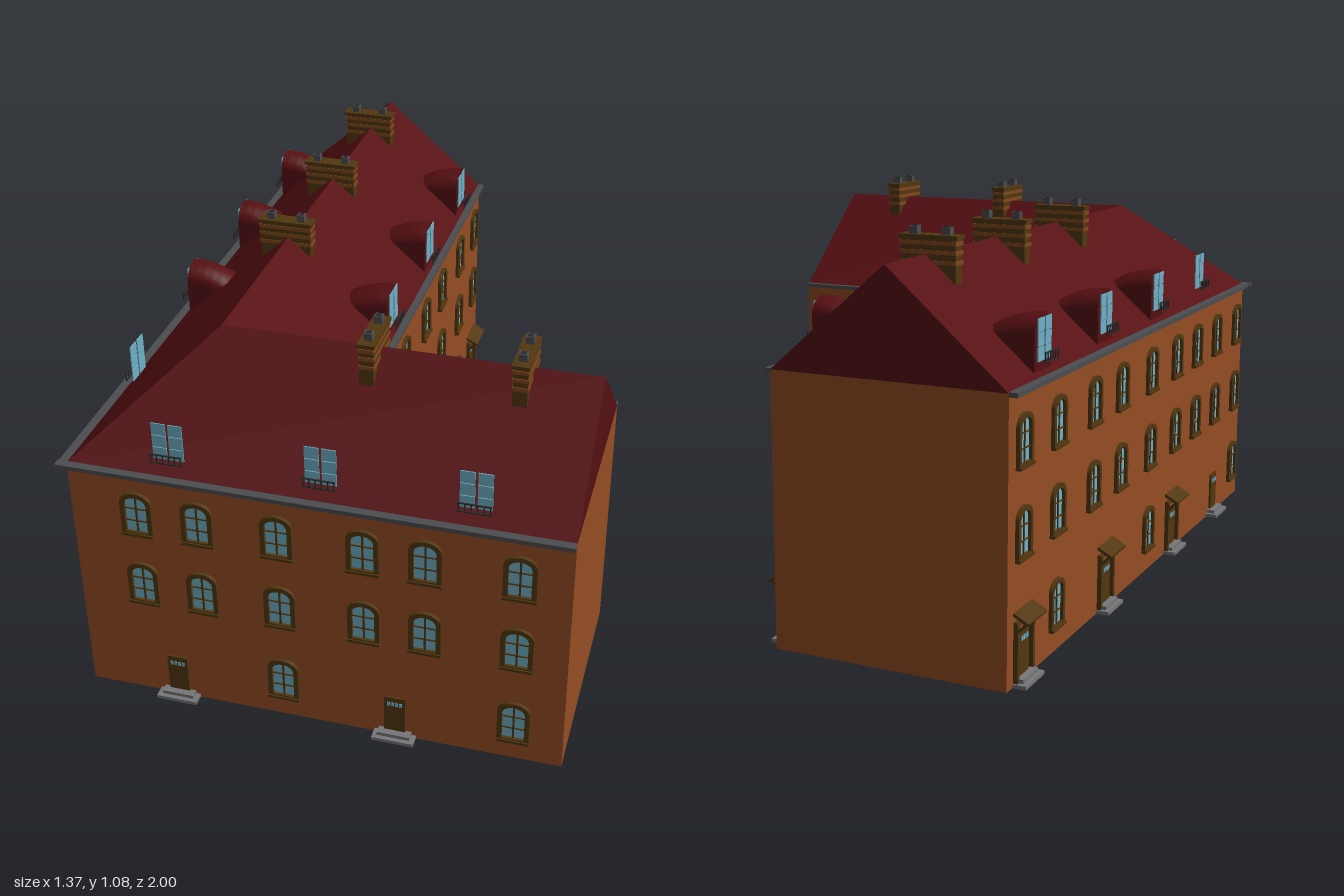
import * as THREE from 'three';

const mat = (name, color, side = THREE.FrontSide) => {
  const m = new THREE.MeshStandardMaterial({ color, side });
  m.name = name;
  return m;
};
const M = {
  wall: mat('brick wall', 0x964d22, THREE.DoubleSide),
  roof: mat('red roof', 0x560f12, THREE.DoubleSide),
  trim: mat('brown trim', 0x523710),
  band: mat('brick band', 0x80481a),
  glass: mat('window glass', 0x6fb0c6, THREE.DoubleSide),
  gutter: mat('gutter grey', 0x4c4d50),
  stone: mat('step stone', 0x77777a),
  iron: mat('dark iron', 0x2c2a2c),
};
// plan: long wing along z, short wing along x
const W = -0.645, E = 0, F = 0.965, B = 0.32, R = 0.685, N = -0.995;
const EAVE = 0.73, RIDGE = 1.01, MX = (W + E) / 2, MZ = (F + B) / 2;

function add(parent, name, geo, material, x = 0, y = 0, z = 0) {
  const m = new THREE.Mesh(geo, material);
  m.name = name;
  m.position.set(x, y, z);
  parent.add(m);
  return m;
}
const box = (p, name, w, h, d, m, x, y, z) => add(p, name, new THREE.BoxGeometry(w, h, d), m, x, y, z);

// flat polygons, each a convex loop of points
function faces(polys) {
  const v = [];
  for (const p of polys)
    for (let i = 1; i < p.length - 1; i++) v.push(...p[0], ...p[i], ...p[i + 1]);
  const g = new THREE.BufferGeometry();
  g.setAttribute('position', new THREE.Float32BufferAttribute(v, 3));
  g.computeVertexNormals();
  return g;
}

// opening with a rounded head, standing on y = 0
function arch(w, h, rise, C = THREE.Shape, y0 = 0) {
  const s = new C();
  s.moveTo(-w / 2, y0);
  s.lineTo(w / 2, y0);
  s.lineTo(w / 2, h - rise);
  s.absellipse(0, h - rise, w / 2, rise, 0, Math.PI, false, 0);
  s.lineTo(-w / 2, y0);
  return s;
}
const frameShape = arch(0.086, 0.134, 0.032);
frameShape.holes.push(arch(0.06, 0.121, 0.022, THREE.Path, 0.012));
const frameGeo = new THREE.ExtrudeGeometry(frameShape, { depth: 0.01, bevelEnabled: false, curveSegments: 8 });
const glassGeo = new THREE.ShapeGeometry(arch(0.062, 0.122, 0.022, THREE.Shape, 0.011), 8);

function archedWindow(p, x, y) {
  const g = new THREE.Group();
  g.name = 'archedWindow';
  g.position.set(x, y, 0);
  p.add(g);
  add(g, 'windowFrame', frameGeo, M.trim, 0, 0, 0.0005);
  add(g, 'windowGlass', glassGeo, M.glass, 0, 0, 0.002);
  box(g, 'mullion', 0.005, 0.108, 0.003, M.trim, 0, 0.066, 0.004);
  for (const ty of [0.046, 0.084]) box(g, 'glazingBar', 0.06, 0.003, 0.003, M.trim, 0, ty, 0.004);
  box(g, 'windowSill', 0.088, 0.008, 0.014, M.trim, 0, 0.004, 0.0075);
}

function door(p, x, canopy) {
  const g = new THREE.Group();
  g.name = 'doorway';
  g.position.x = x;
  p.add(g);
  box(g, 'lowerStep', 0.115, 0.01, 0.036, M.stone, 0, 0.005, 0.018);
  box(g, 'upperStep', 0.09, 0.01, 0.024, M.stone, 0, 0.015, 0.012);
  box(g, 'doorLeaf', 0.058, 0.115, 0.006, M.trim, 0, 0.0775, 0.003);
  for (let i = 0; i < 4; i++)
    box(g, 'doorPane', 0.007, 0.012, 0.002, M.glass, (i - 1.5) * 0.011, 0.113, 0.007);
  if (!canopy) return;
  for (const s of [-1, 1]) {
    box(g, 'doorPost', 0.012, 0.15, 0.012, M.trim, s * 0.047, 0.085, 0.006);
    box(g, 'canopyBracket', 0.008, 0.008, 0.042, M.trim, s * 0.047, 0.148, 0.018).rotation.x = -0.8;
  }
  box(g, 'doorLintel', 0.106, 0.012, 0.01, M.trim, 0, 0.158, 0.005);
  box(g, 'canopyRoof', 0.114, 0.008, 0.046, M.trim, 0, 0.175, 0.02).rotation.x = 0.5;
}

// casement panes with a small balcony rail
function roofWindow(p, x, z) {
  for (const s of [-1, 1])
    for (let r = 0; r < 3; r++)
      box(p, 'roofWindowPane', 0.038, 0.034, 0.003, M.glass, x + s * 0.0225, 0.785 + r * 0.036, z);
  for (const y of [0.768, 0.792]) box(p, 'balconyRail', 0.085, 0.003, 0.004, M.iron, x, y, z + 0.02);
  for (let i = 0; i < 6; i++)
    box(p, 'baluster', 0.003, 0.024, 0.003, M.iron, x + (i - 2.5) * 0.016, 0.78, z + 0.02);
}

// arched hood that sinks towards the roof slope at its back
const dormerGeo = (() => {
  const D = 0.125;
  const g = new THREE.ExtrudeGeometry(arch(0.108, 0.143, 0.045), { depth: D, steps: 5, bevelEnabled: false, curveSegments: 10 });
  const a = g.attributes.position;
  for (let i = 0; i < a.count; i++) {
    const t = 1 - a.getZ(i) / D;
    a.setY(i, a.getY(i) * (1 - 0.25 * t * t));
    a.setZ(i, a.getZ(i) - D);
  }
  g.computeVertexNormals();
  return g;
})();

function facade(root, name, x, z, turn, upper, lower, doors, canopyDoors) {
  const g = new THREE.Group();
  g.name = name;
  g.position.set(x, 0, z);
  g.rotation.y = turn;
  root.add(g);
  for (const u of upper) for (const y of [0.31, 0.537]) archedWindow(g, u, y);
  for (const u of lower) archedWindow(g, u, 0.062);
  for (const u of doors) door(g, u, false);
  for (const u of canopyDoors) door(g, u, true);
  return g;
}

function chimney(root, x, z, turn) {
  const g = new THREE.Group();
  g.name = 'chimney';
  g.position.set(x, 0, z);
  g.rotation.y = turn;
  root.add(g);
  box(g, 'chimneyStack', 0.15, 0.13, 0.038, M.trim, 0, 0.99, 0);
  for (const y of [0.99, 1.015, 1.038]) box(g, 'brickCourse', 0.156, 0.01, 0.042, M.band, 0, y, 0);
  box(g, 'chimneyCap', 0.162, 0.01, 0.046, M.trim, 0, 1.053, 0);
  for (const s of [-1, 1]) {
    box(g, 'chimneyPot', 0.022, 0.022, 0.022, M.gutter, s * 0.045, 1.067, 0);
    box(g, 'potOpening', 0.014, 0.002, 0.014, M.iron, s * 0.045, 1.0785, 0);
  }
}

export function createModel() {
  const root = new THREE.Group();
  root.name = 'corner building';

  // walls, open underneath
  const plan = [[W, F], [R, F], [R, B], [E, B], [E, N], [W, N]];
  add(root, 'walls', faces(plan.map(([x, z], i) => {
    const [x2, z2] = plan[(i + 1) % plan.length];
    return [[x, 0, z], [x2, 0, z2], [x2, EAVE, z2], [x, EAVE, z]];
  })), M.wall);

  // roof slopes with hip, valley and gable ends
  const hip = [MX, RIDGE, MZ], endA = [MX, RIDGE, N], endB = [R, RIDGE, MZ];
  const e = (x, z) => [x, EAVE, z];
  add(root, 'roof', faces([
    [e(W, F), e(R, F), endB, hip],
    [e(R, B), e(E, B), hip, endB],
    [e(E, B), e(E, N), endA, hip],
    [e(W, N), e(W, F), hip, endA],
    [e(R, F), e(R, B), endB],
    [e(E, N), e(W, N), endA],
  ]), M.roof);

  // gutters
  const gut = (w, d, x, z) => box(root, 'gutter', w, 0.012, d, M.gutter, x, 0.727, z);
  gut(R - W + 0.025, 0.024, (R + W - 0.025) / 2, F + 0.008);
  gut(0.024, F - N, W - 0.01, (F + N) / 2);
  gut(0.02, B - N, E + 0.006, (B + N) / 2);
  gut(R - E, 0.02, (R + E) / 2, B - 0.006);

  // facades
  const front = facade(root, 'frontFacade', 0, F, 0,
    [-0.46, -0.293, -0.078, 0.15, 0.313, 0.553], [-0.078, 0.553], [-0.385, 0.232], []);
  const bays = [-0.91, -0.695, -0.445, -0.235, 0.015, 0.247], entries = [-0.905, -0.34, 0.235];
  const neg = (a) => a.map((v) => -v);
  const east = facade(root, 'courtFacade', E, 0, Math.PI / 2, neg(bays), [0.695, -0.015], [], neg(entries));
  const west = facade(root, 'streetFacade', W, 0, -Math.PI / 2,
    [...bays, 0.45, 0.66, 0.89], [-0.695, 0.015, 0.89], [0.675], entries);
  facade(root, 'rearFacade', 0, B, Math.PI, [-0.593, -0.427, -0.205], [-0.205], [-0.51], []);

  // dormers on the long wing, bare roof windows elsewhere
  for (const z of [-0.76, -0.335, 0.095]) {
    for (const [side, u] of [[east, -z], [west, z]]) {
      add(side, 'dormer', dormerGeo, M.roof, u, 0.743, -0.014);
      roofWindow(side, u, -0.011);
    }
    chimney(root, MX - 0.008, z - 0.004, 0);
  }
  for (const x of [-0.37, 0.035, 0.43]) roofWindow(front, x, -0.03);
  roofWindow(west, 0.565, -0.033);
  for (const x of [0.093, 0.487]) chimney(root, x, MZ + 0.006, Math.PI / 2);

  return root;
}
